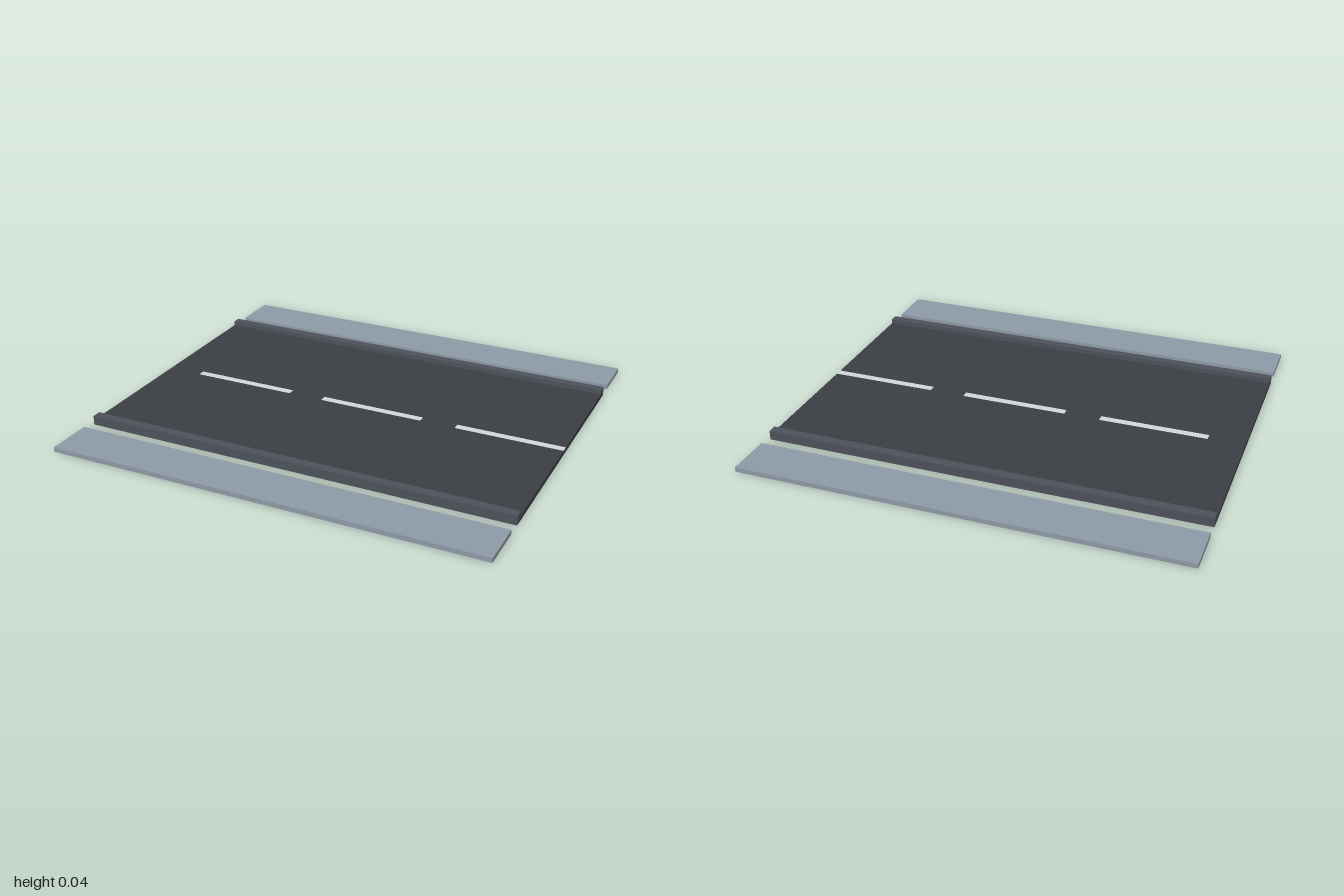
import * as THREE from 'three';

const LENGTH = 2;
const UNIT = 1 / 14; // cross-section module

const paint = (color) => new THREE.MeshStandardMaterial({ color });

export function createModel() {
  const group = new THREE.Group();
  group.name = 'roadSegment';

  const asphalt = paint(0x3a3d42);
  const curbStone = paint(0x4c5059);
  const paving = paint(0x8c98a4);
  const linePaint = paint(0xd0d5d6);
  const underside = paint(0x35502a);

  // A slab along x, resting on the ground, with a green bottom face
  function slab(name, width, height, z, material) {
    const geometry = new THREE.BoxGeometry(LENGTH, height, width);
    const faces = [material, material, material, underside, material, material];
    const mesh = new THREE.Mesh(geometry, faces);
    mesh.name = name;
    mesh.position.set(0, height / 2, z);
    group.add(mesh);
  }

  // Carriageway between the curbs
  const roadHeight = 0.3 * UNIT;
  slab('roadway', 16.8 * UNIT, roadHeight, 0, asphalt);

  // Curbs and detached sidewalks, mirrored front and back
  for (const [side, sign] of [['front', 1], ['back', -1]]) {
    slab(side + 'Curb', 0.6 * UNIT, 0.6 * UNIT, sign * 8.7 * UNIT, curbStone);
    slab(side + 'Sidewalk', 3 * UNIT, roadHeight, sign * 11.5 * UNIT, paving);
  }

  // Dashed centre line, the last dash ending at the +x edge
  const dashLength = 0.5;
  const dashGeometry = new THREE.PlaneGeometry(dashLength, 0.5 * UNIT).rotateX(-Math.PI / 2);
  for (let i = 0; i < 3; i++) {
    const dash = new THREE.Mesh(dashGeometry, linePaint);
    dash.name = 'laneDash' + (i + 1);
    dash.position.set(-7 / 12 + i * (2 / 3), roadHeight + 0.001, 0);
    group.add(dash);
  }

  return group;
}
